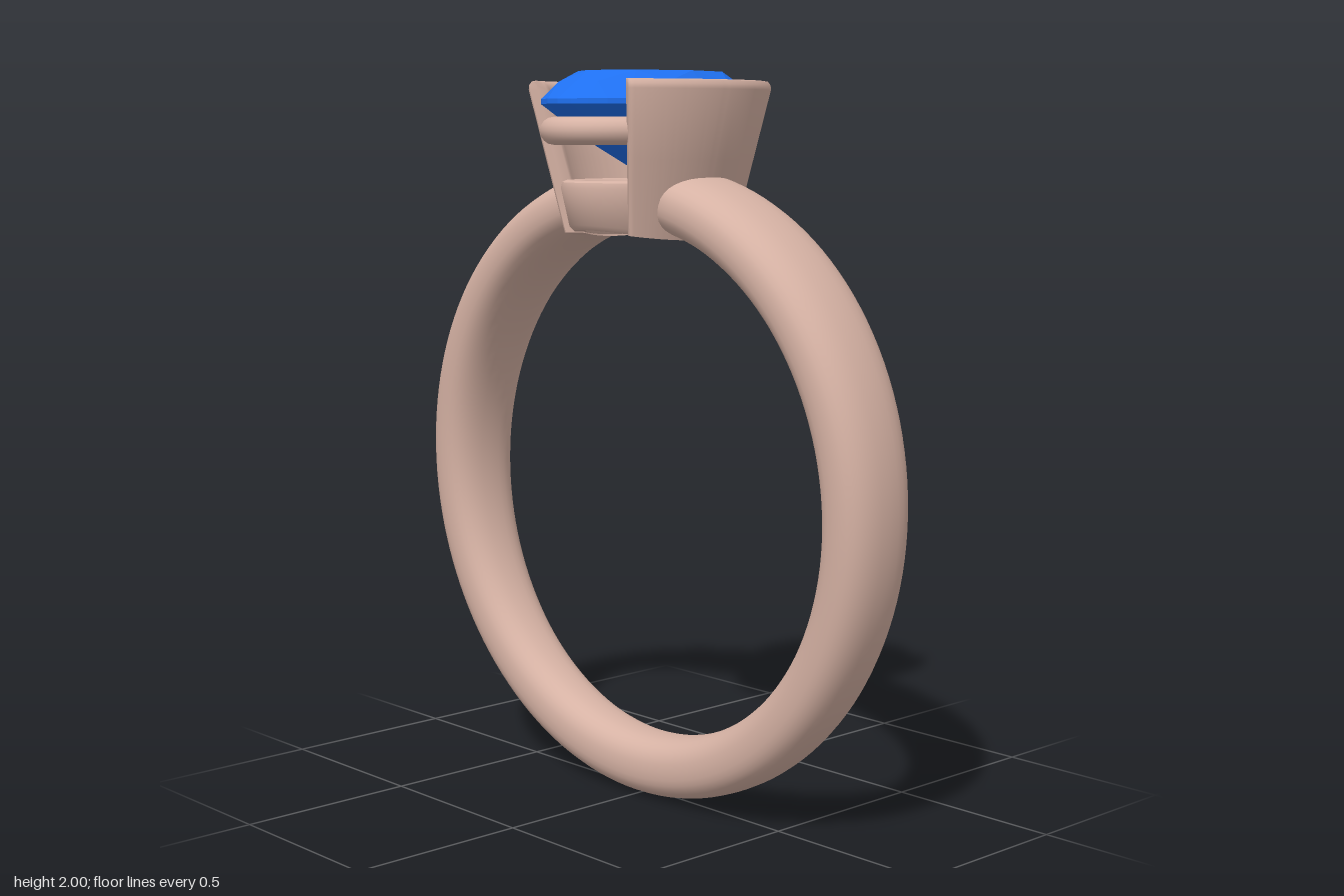
import * as THREE from 'three';
import { toCreasedNormals } from 'three/addons/utils/BufferGeometryUtils.js';
import { ConvexGeometry } from 'three/addons/geometries/ConvexGeometry.js';

const metal = new THREE.MeshStandardMaterial({ color: 0xd6b2a4 });
const blue = new THREE.MeshStandardMaterial({ color: 0x1f70f0 });
const { lerp, mapLinear } = THREE.MathUtils;

const CENTRE = 0.877; // height of the finger hole's centre
const HOLE = 0.705; // radius of the finger hole

// Surface through nu + 1 sections of nv + 1 points, f(u, j) -> [x, y, z]
function loft(nu, nv, f, crease) {
  const pos = [], index = [];
  for (let i = 0; i <= nu; i++) {
    for (let j = 0; j <= nv; j++) pos.push(...f(i / nu, j));
  }
  for (let i = 0; i < nu; i++) {
    for (let j = 0; j < nv; j++) {
      const a = i * (nv + 1) + j, b = a + nv + 1;
      index.push(a, b, a + 1, b, b + 1, a + 1);
    }
  }
  const geo = new THREE.BufferGeometry();
  geo.setAttribute('position', new THREE.Float32BufferAttribute(pos, 3));
  geo.setIndex(index);
  return toCreasedNormals(geo, crease);
}

function mesh(name, geo, material = metal) {
  const m = new THREE.Mesh(geo, material);
  m.name = name;
  return m;
}

// Shank: rounded section, widening towards the top, open under the setting
function bandGeometry() {
  const n = 32, gap = 0.23;
  const soft = (v) => Math.sign(v) * Math.pow(Math.abs(v), 0.82);
  return loft(128, n, (u, j) => {
    const phi = lerp(gap, 2 * Math.PI - gap, u);
    const th = (j / n) * 2 * Math.PI;
    const r = HOLE + 0.085 + 0.085 * soft(Math.cos(th));
    const half = 0.088 + 0.0335 * (CENTRE + 0.79 * Math.cos(phi));
    return [Math.sin(phi) * r, CENTRE + Math.cos(phi) * r, -half * soft(Math.sin(th))];
  }, 1);
}

// Flared oval shell. Profile points are [across 0..1, up 0..1];
// the lower edge follows the finger hole.
function shellGeometry({ profile, top, low, high, thick, sweep, roundEnds }) {
  return loft(64, profile.length - 1, (u, j) => {
    const s = 2 * u - 1, t = s * sweep;
    const e = Math.max(0, (Math.abs(s) - 0.93) / 0.07);
    const k = roundEnds ? Math.sqrt(Math.max(0, 1 - e * e)) : 1;
    const across = 0.5 + (profile[j][0] - 0.5) * k;
    const x0 = low[0] * Math.cos(t);
    const y = lerp(CENTRE + Math.sqrt(HOLE * HOLE - x0 * x0), top, profile[j][1]);
    const f = mapLinear(y, 1.58, top, 0, 1);
    const inset = thick * (1 - across);
    return [
      (lerp(low[0], high[0], f) - inset) * Math.cos(t),
      y,
      -(lerp(low[1], high[1], f) - inset) * Math.sin(t),
    ];
  }, 0.7);
}

// Oval brilliant cut, as the hull of its rings of corners
function stoneGeometry() {
  const pts = [new THREE.Vector3(0, 1.71, 0)];
  const ring = (n, r, y, turn) => {
    for (let i = 0; i < n; i++) {
      const a = ((i + turn) / n) * 2 * Math.PI;
      pts.push(new THREE.Vector3(0.24 * r * Math.cos(a), y, 0.328 * r * Math.sin(a)));
    }
  };
  ring(8, 0.68, 2.0, 0); // table
  ring(8, 0.85, 1.97, 0.5); // star points
  ring(32, 1, 1.925, 0); // girdle
  ring(32, 1, 1.912, 0);
  ring(8, 0.5, 1.8, 0.5); // pavilion
  return new ConvexGeometry(pts);
}

// Closed oval path for the gallery wire
class OvalCurve extends THREE.Curve {
  getPoint(t, target = new THREE.Vector3()) {
    const a = t * 2 * Math.PI;
    return target.set(0.205 * Math.cos(a), 1.842, 0.294 * Math.sin(a));
  }
}

export function createModel() {
  const group = new THREE.Group();
  group.name = 'ring';
  group.add(mesh('band', bandGeometry()));

  // Two half-bezel walls holding the stone
  const wall = shellGeometry({
    profile: [[0, 0], [1, 0], [1, 0.5], [1, 0.94], [0.93, 0.97], [0.75, 0.995], [0.5, 1],
      [0.25, 0.995], [0.07, 0.97], [0, 0.94], [0, 0.5], [0, 0]],
    top: 1.975, low: [0.195, 0.27], high: [0.3, 0.362], thick: 0.055, sweep: 0.85, roundEnds: true,
  });
  for (const side of ['left', 'right']) {
    const m = mesh(side + 'BezelWall', wall);
    if (side === 'right') m.rotation.y = Math.PI;
    group.add(m);
  }

  // Oval ring at the foot of the setting
  group.add(mesh('baseCollet', shellGeometry({
    profile: [[0, 0.1], [0.2, 0], [0.8, 0], [1, 0.1], [1, 0.85], [0.85, 0.96], [0.6, 1],
      [0.4, 1], [0.15, 0.96], [0, 0.85], [0, 0.1]],
    top: 1.712, low: [0.178, 0.243], high: [0.202, 0.275], thick: 0.05, sweep: Math.PI,
  })));

  group.add(mesh('galleryWire', new THREE.TubeGeometry(new OvalCurve(), 96, 0.037, 16, true)));
  group.add(mesh('gemstone', stoneGeometry(), blue));
  return group;
}
